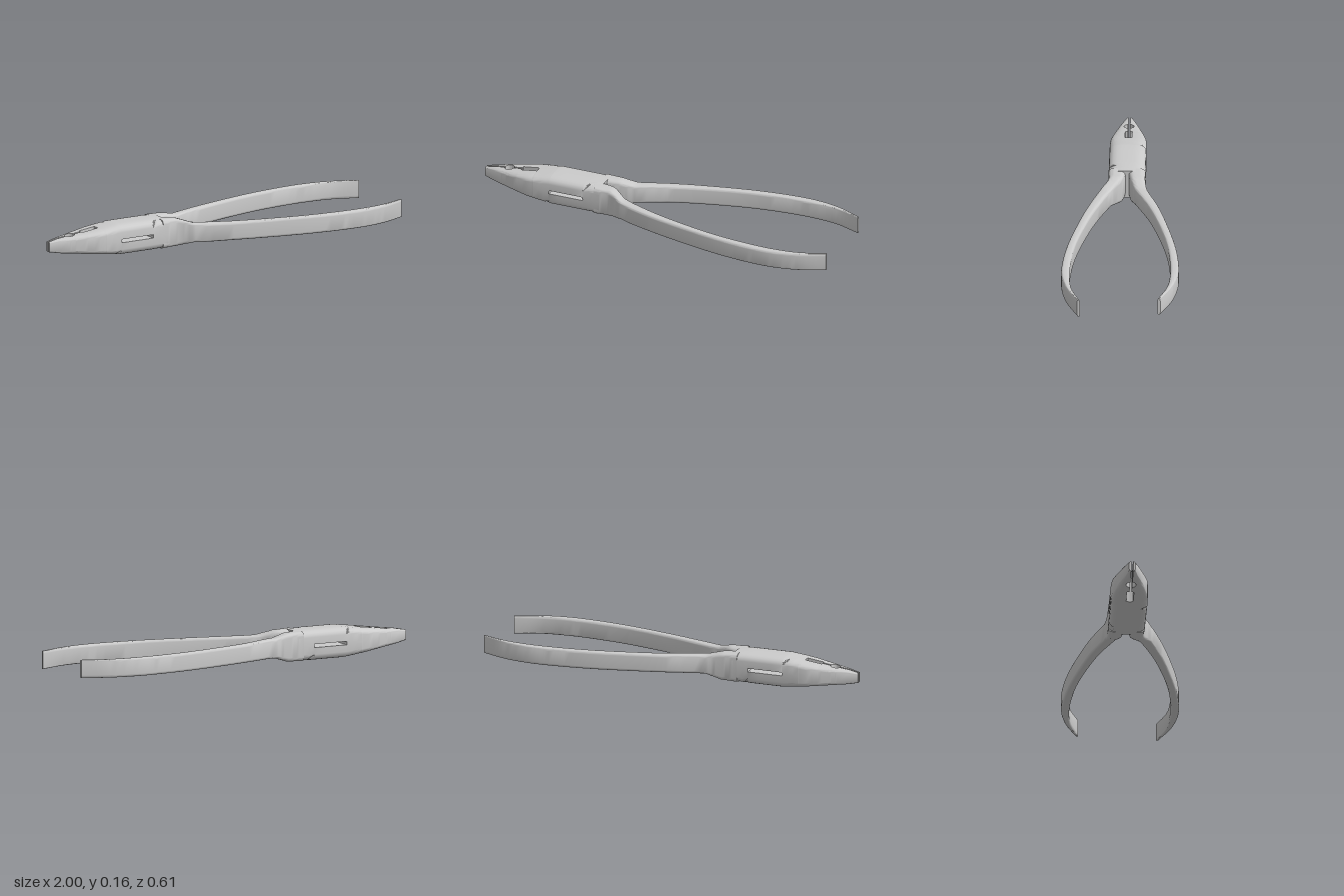
import * as THREE from 'three';
import { toCreasedNormals } from 'three/addons/utils/BufferGeometryUtils.js';

const N = 14;
const material = new THREE.MeshStandardMaterial({ color: 0xcccccc, side: THREE.DoubleSide });

// piecewise linear lookup in [x, value] pairs
function lookup(table, x) {
  for (let i = 1; i < table.length; i++) {
    const [x0, a] = table[i - 1], [x1, b] = table[i];
    if (x <= x1) return a + (b - a) * Math.max(0, (x - x0) / (x1 - x0));
  }
  return table[table.length - 1][1];
}

// half width and half height of the head along its length
const headWidth = x => lookup([[-1, 0.016], [-0.9, 0.048], [-0.8, 0.077], [-0.74, 0.091], [-0.68, 0.095], [0, 0.095]], x);
const headHeight = x => lookup([[-1, 0.027], [-0.95, 0.037], [-0.8, 0.055], [-0.61, 0.08], [-0.4, 0.08], [-0.27, 0.074]], x);

// domed profile with a flat rim, t from -1 to 1 across the width
const dome = (t, rim) => rim + (1 - rim) * Math.sqrt(Math.max(0, 1 - Math.pow(Math.abs(t), 4)));
const headTop = (x, z) => headHeight(x) * dome(z / headWidth(x), 0.56);

// lofts rows of { x, lo, hi, top(z), bottom(z) } into a closed solid
function loft(rows, name) {
  const pos = [], idx = [], R = 2 * N;
  for (const { x, lo, hi, top, bottom } of rows) {
    for (let k = 0; k < R; k++) {
      const j = k < N ? k : R - 1 - k;
      const z = (lo + hi) / 2 - (hi - lo) / 2 * Math.cos(Math.PI * j / (N - 1));
      pos.push(x, k < N ? top(z) : bottom(z), z);
    }
  }
  for (let i = 0; i < rows.length - 1; i++) {
    for (let k = 0; k < R; k++) {
      const a = i * R + k, b = i * R + (k + 1) % R;
      idx.push(a, b, a + R, b, b + R, a + R);
    }
  }
  const e = (rows.length - 1) * R;
  for (let j = 0; j < N - 1; j++) {
    const a = j, b = j + 1, c = R - 2 - j, d = R - 1 - j;
    idx.push(a, c, b, a, d, c);
    idx.push(e + a, e + b, e + c, e + a, e + c, e + d);
  }
  const g = new THREE.BufferGeometry();
  g.setAttribute('position', new THREE.Float32BufferAttribute(pos, 3));
  g.setIndex(idx);
  const mesh = new THREE.Mesh(toCreasedNormals(g, 0.6), material);
  mesh.name = name;
  return mesh;
}

// gripping face: slit, round pipe grip and square cutter opening
function innerFace(x) {
  const d = Math.abs(x + 0.87);
  if (d < 0.026) return Math.max(0.005, Math.sqrt(0.026 ** 2 - d * d));
  if (x > -0.8 && x < -0.71) return 0.018;
  return x < -0.709 ? 0.005 : 0;
}

function jaw() {
  const xs = [-1, -0.95, -0.9];
  for (let i = 0; i <= 12; i++) xs.push(-0.87 - 0.026 * Math.cos(Math.PI * i / 12));
  xs.push(-0.82, -0.8005, -0.7995, -0.77, -0.74, -0.7105, -0.7085, -0.7);
  return loft(xs.map(x => ({
    x, lo: innerFace(x), hi: headWidth(x), top: z => headTop(x, z), bottom: z => -headTop(x, z)
  })), 'jaw');
}

// lower heel of the jaw, cut off diagonally against the other half
function jawHeel() {
  const rows = [-0.7, -0.67, -0.64, -0.611].map(x => {
    const w = headWidth(x);
    return { x, lo: w * (x + 0.7) / 0.09, hi: w, top: () => 0, bottom: z => -headTop(x, z) };
  });
  return loft(rows, 'jawHeel');
}

// half-thickness plate that laps over the other half at the pivot
function lapPlate() {
  const xs = [-0.7, -0.67, -0.64, -0.6105, -0.6095, -0.55, -0.48, -0.4205, -0.4195, -0.39, -0.36, -0.33];
  return loft(xs.map(x => {
    const w = headWidth(x), floor = x > -0.61 && x < -0.42 ? 0.009 : 0;
    return {
      x,
      lo: -w * Math.min(1, (x + 0.7) / 0.09),
      hi: w * (x < -0.42 ? 1 : (-0.33 - x) / 0.09),
      top: z => headTop(x, z), bottom: () => floor
    };
  }), 'lapPlate');
}

// lower shoulder where the handle meets the lap joint
function shoulder() {
  return loft([-0.42, -0.39, -0.36, -0.33].map(x => {
    const w = headWidth(x);
    return { x, lo: -w, hi: -w + w * (x + 0.42) / 0.09, top: () => 0, bottom: z => -headTop(x, z) };
  }), 'shoulder');
}

// bowed handle: points are x, centre z, half width
function handle(shift) {
  const path = new THREE.CatmullRomCurve3([
    [-0.36, -0.05 + shift, 0.045], [-0.27, -0.058 + shift, 0.038], [-0.19, -0.09, 0.032],
    [0, -0.16, 0.026], [0.2, -0.214, 0.022], [0.4, -0.256, 0.021], [0.58, -0.277, 0.022],
    [0.72, -0.28, 0.021], [0.86, -0.26, 0.014], [1, -0.207, 0.007]
  ].map(p => new THREE.Vector3(...p)));
  const height = [[-0.36, 0.077], [-0.27, 0.073], [-0.19, 0.051], [0, 0.048], [1, 0.0475]];
  const lift = [[-0.36, 0], [-0.27, 0], [-0.15, 0.006], [1, 0.007]];
  const rows = [];
  for (let i = 0; i <= 54; i++) {
    const p = path.getPoint(i / 54), h = lookup(height, p.x), y = lookup(lift, p.x);
    const body = z => h * dome((z - p.y) / p.z, 0.7);
    rows.push({ x: p.x, lo: p.y - p.z, hi: p.y + p.z, top: z => y + body(z), bottom: z => y - body(z) });
  }
  return loft(rows, 'handle');
}

// one half of the pliers; shift moves its head sideways
function pliersHalf(name, shift) {
  const half = new THREE.Group(), head = new THREE.Group();
  half.name = name;
  head.name = 'head';
  head.add(jaw(), jawHeel(), lapPlate(), shoulder());
  head.position.z = shift;
  half.add(head, handle(shift));
  half.position.y = 0.085;
  return half;
}

export function createModel() {
  const model = new THREE.Group();
  model.name = 'pliers';
  const upper = pliersHalf('upperHalf', -0.015);
  const lower = pliersHalf('lowerHalf', 0.015);
  lower.rotation.x = Math.PI; // same half turned over about the long axis
  model.add(upper, lower);
  return model;
}
